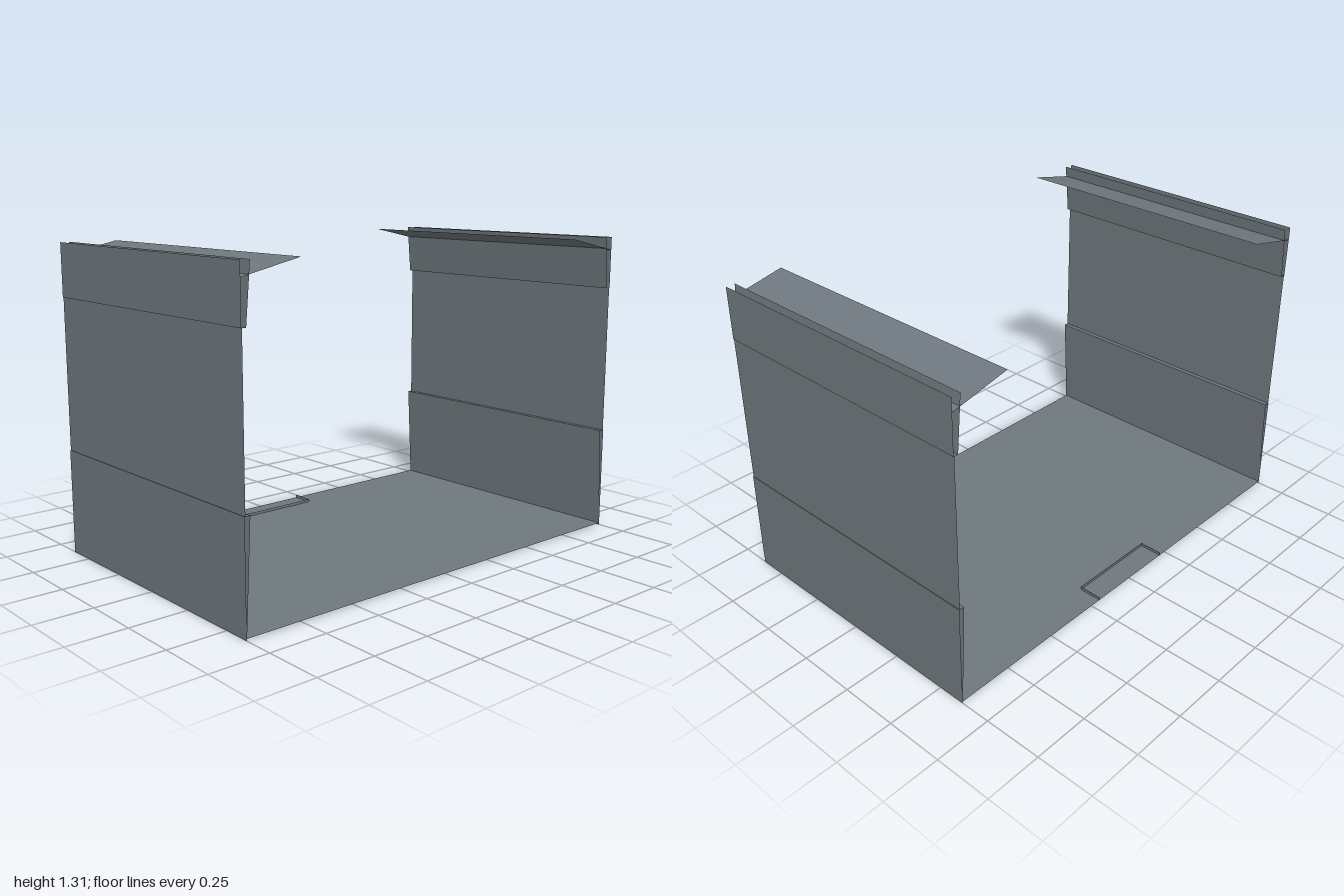
import * as THREE from 'three';

const HALF_DEPTH = 0.62;
const FLOOR_Y = 0.008;

// Thin folded sheet: sweeps an open [x, y] profile straight along z
function sheet(name, profile, material, z0 = -HALF_DEPTH, z1 = HALF_DEPTH) {
  const pos = [];
  for (let i = 0; i < profile.length - 1; i++) {
    const [ax, ay] = profile[i];
    const [bx, by] = profile[i + 1];
    pos.push(ax, ay, z1, ax, ay, z0, bx, by, z0);
    pos.push(ax, ay, z1, bx, by, z0, bx, by, z1);
  }
  const geometry = new THREE.BufferGeometry();
  geometry.setAttribute('position', new THREE.Float32BufferAttribute(pos, 3));
  geometry.computeVertexNormals();
  const mesh = new THREE.Mesh(geometry, material);
  mesh.name = name;
  return mesh;
}

export function createModel() {
  const material = new THREE.MeshStandardMaterial({
    color: 0x6f787e, flatShading: true, side: THREE.DoubleSide,
  });
  const model = new THREE.Group();
  model.name = 'openChannel';

  // Floor
  model.add(sheet('floor', [[-1, FLOOR_Y], [1, FLOOR_Y]], material));

  // Side walls with their folded bands, mirrored in x
  const parts = {
    // wedge at the foot: flat outside, leaning inside, narrow ledge on top
    lowerPanel: [[1, 0], [1, 0.447], [0.976, 0.447], [0.999, FLOOR_Y]],
    middleWall: [[0.997, 0.447], [0.997, 1.09]],
    // folded band along the top
    upperBand: [[1, 1.314], [1, 1.09], [0.98, 1.09], [0.96, 1.314]],
    // flap reaching inward from the wall, passing through the band
    topFlap: [[1, 1.257], [0.745, 1.312]],
  };
  for (const [label, s] of [['left', 1], ['right', -1]]) {
    const wall = new THREE.Group();
    wall.name = label + 'Wall';
    for (const [name, profile] of Object.entries(parts)) {
      wall.add(sheet(name, profile.map(([x, y]) => [s * x, y]), material));
    }
    model.add(wall);
  }

  // Low U-shaped curb at the back edge of the floor
  const curb = new THREE.Group();
  curb.name = 'backCurb';
  const curbZ = -0.52, curbX = 0.207, curbTop = 0.021;
  for (const s of [-1, 1]) {
    curb.add(sheet('curbSide', [[s * curbX, FLOOR_Y], [s * curbX, curbTop]], material, -HALF_DEPTH, curbZ));
  }
  const front = new THREE.Mesh(new THREE.PlaneGeometry(2 * curbX, curbTop - FLOOR_Y), material);
  front.name = 'curbFront';
  front.position.set(0, (curbTop + FLOOR_Y) / 2, curbZ);
  curb.add(front);
  model.add(curb);

  return model;
}
